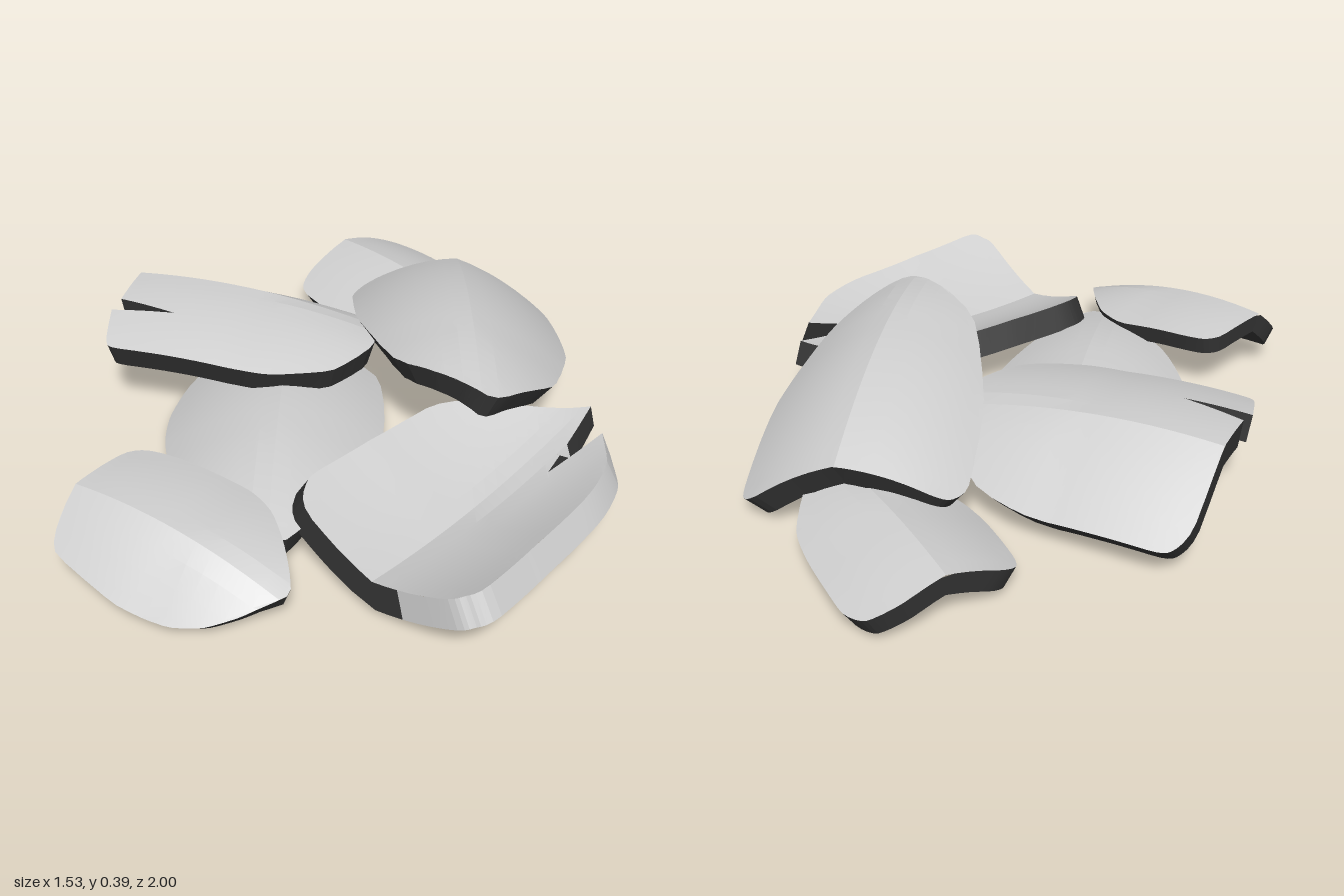
import * as THREE from 'three';
import { toCreasedNormals } from 'three/addons/utils/BufferGeometryUtils.js';

const STEP = 0.05;

// Keep the part of a polygon where sign * (p[axis] - value) >= 0.
function clip(poly, axis, value, sign) {
  const out = [];
  poly.forEach((p, i) => {
    const q = poly[(i + 1) % poly.length];
    const a = sign * (p[axis] - value), b = sign * (q[axis] - value);
    if (a >= 0) out.push(p);
    if ((a > 0 && b < 0) || (a < 0 && b > 0)) {
      const f = a / (a - b);
      out.push([p[0] + (q[0] - p[0]) * f, p[1] + (q[1] - p[1]) * f]);
    }
  });
  return out;
}

function toGeometry(points) {
  return toCreasedNormals(new THREE.BufferGeometry().setFromPoints(points), 0.13);
}

// Rounded [x, z] outline; a notch leaves the curve open and adds its inner tip.
function roundOutline(points, notch) {
  const knots = points.map(([x, z]) => new THREE.Vector3(x, 0, z));
  const curve = new THREE.CatmullRomCurve3(knots, !notch, 'catmullrom', 0.3);
  const outline = curve.getPoints(48).map((v) => [v.x, v.z]);
  if (notch) outline.push(notch);
  else outline.pop();
  return outline;
}

// A bent slab: an outline cut from a sheet creased along a heading (degrees from x towards z).
// y = y0 + s t - k t^2 - a|d| - b d^2 - m d, t along the crease, d across it.
// The crease softens towards the far end.
function makePlate({ name, origin, heading, y0, s = 0, k, a, b, m = 0, thick, points, notch, paleRim }, light, dark) {
  const angle = THREE.MathUtils.degToRad(heading);
  const ax = Math.cos(angle), az = Math.sin(angle);
  const outline = roundOutline(points, notch);
  const toLocal = ([x, z]) => {
    const dx = x - origin[0], dz = z - origin[1];
    return [dx * ax + dz * az, dx * az - dz * ax];
  };
  const softness = (t) => Math.max(0, 0.25 * (t - 0.05));
  const top = ([t, d]) => new THREE.Vector3(
    origin[0] + t * ax + d * az,
    y0 + s * t - k * t * t - a * (Math.hypot(d, softness(t)) - softness(t)) - b * d * d - m * d,
    origin[1] + t * az - d * ax);
  const bottom = (p) => {
    const [t, d] = p;
    const side = Math.abs(d) < 1e-6 ? 0 : d / Math.hypot(d, softness(t));
    const st = s - 2 * k * t, sd = -a * side - 2 * b * d - m;
    const n = new THREE.Vector3(-(st * ax + sd * az), 1, -(st * az - sd * ax)).normalize();
    const v = top(p).addScaledVector(n, -thick);
    v.y = Math.max(v.y, 0);
    return v;
  };

  const local = outline.map(toLocal);
  const upper = [], lower = [];

  // Upper and lower faces, diced along the crease so they bend smoothly
  for (let i = -18; i < 18; i++) {
    const strip = clip(clip(local, 1, i * STEP, 1), 1, (i + 1) * STEP, -1);
    if (strip.length < 3) continue;
    for (let j = -18; j < 18; j++) {
      const cell = clip(clip(strip, 0, j * STEP, 1), 0, (j + 1) * STEP, -1);
      if (cell.length < 3) continue;
      const faces = THREE.ShapeUtils.triangulateShape(cell.map((p) => new THREE.Vector2(...p)), []);
      for (const f of faces) {
        let [p, q, r] = f.map((n) => cell[n]);
        const area = (q[0] - p[0]) * (r[1] - p[1]) - (q[1] - p[1]) * (r[0] - p[0]);
        if (Math.abs(area) < 1e-8) continue;
        if (area < 0) [q, r] = [r, q];
        upper.push(top(p), top(q), top(r));
        lower.push(bottom(p), bottom(r), bottom(q));
      }
    }
  }

  // Rim: dark, or pale along one side of the crease outside the notch
  const tip = local[local.length - 1];
  const ccw = THREE.ShapeUtils.area(outline.map((p) => new THREE.Vector2(...p))) > 0;
  const loop = ccw ? local : local.slice().reverse();
  loop.forEach((p, i) => {
    const q = loop[(i + 1) % loop.length];
    const n = Math.ceil(Math.hypot(q[0] - p[0], q[1] - p[1]) / STEP);
    const at = (f) => [p[0] + (q[0] - p[0]) * f, p[1] + (q[1] - p[1]) * f];
    const pale = paleRim && p !== tip && q !== tip;
    for (let j = 0; j < n; j++) {
      const u = at(j / n), v = at((j + 1) / n);
      const target = pale && u[1] < -0.1 ? upper : lower;
      target.push(top(u), top(v), bottom(v), top(u), bottom(v), bottom(u));
    }
  });

  const group = new THREE.Group();
  group.name = name;
  const face = new THREE.Mesh(toGeometry(upper), light);
  face.name = name + 'Face';
  const under = new THREE.Mesh(toGeometry(lower), dark);
  under.name = name + 'Underside';
  group.add(face, under);
  return group;
}

export function createModel() {
  const light = new THREE.MeshStandardMaterial({ color: 0xcecece });
  light.name = 'paleGrey';
  const dark = new THREE.MeshStandardMaterial({ color: 0x343434 });
  dark.name = 'charcoal';
  const model = new THREE.Group();
  model.name = 'platePile';
  const add = (plate) => model.add(makePlate(plate, light, dark));

  add({
    name: 'backPlate', origin: [0.08, -0.7], heading: 43, y0: 0.185, k: 0.25, a: 0.22, b: 0.8, thick: 0.07,
    points: [[-0.23, -0.68], [-0.2, -0.75], [-0.02, -0.95], [0.07, -1], [0.15, -0.97], [0.3, -0.82],
      [0.38, -0.71], [0.42, -0.5], [0.3, -0.36], [-0.04, -0.46], [-0.2, -0.62]],
  });
  add({
    name: 'highPlate', origin: [0.35, -0.05], heading: 85, y0: 0.39, s: 0.06, k: 0.32, a: 0.2, b: 1, m: 0.2,
    thick: 0.08,
    points: [[-0.04, -0.48], [-0.01, -0.555], [0.05, -0.58], [0.28, -0.61], [0.54, -0.61], [0.6, -0.58],
      [0.62, -0.5], [0.655, -0.2], [0.6, 0.1], [0.5, 0.25], [0.4, 0.33], [0.14, 0.15], [0, -0.2]],
  });
  add({
    name: 'notchedPlate', origin: [-0.35, -0.26], heading: 10, y0: 0.32, s: -0.09, k: 0.23, a: 0.3, b: 0.6,
    m: 0.35, thick: 0.085, notch: [-0.56, -0.1],
    points: [[-0.74, -0.17], [-0.67, -0.5], [-0.62, -0.56], [-0.55, -0.56], [-0.2, -0.49], [-0.01, -0.39],
      [0.06, -0.08], [-0.05, 0.07], [-0.2, 0.11], [-0.3, 0.11], [-0.7, 0.04], [-0.75, 0.01], [-0.76, -0.12]],
  });
  add({
    name: 'lowerPlate', origin: [-0.2, 0.2], heading: 87, y0: 0.2, k: 0.3, a: 0.15, b: 0.8, thick: 0.078,
    points: [[-0.56, 0.05], [-0.55, 0.2], [-0.5, 0.37], [-0.4, 0.52], [-0.15, 0.69], [-0.11, 0.68],
      [-0.06, 0.6], [0.1, 0.2], [0.06, -0.18], [-0.2, -0.25], [-0.5, -0.15]],
  });
  add({
    name: 'upturnedPlate', origin: [0.28, 0.61], heading: -50.5, y0: 0.09, s: 0.02, k: -0.2, a: -0.25, b: -0.6,
    thick: 0.085, notch: [0.58, 0.37], paleRim: true,
    points: [[0.735, 0.24], [0.735, 0.4], [0.67, 0.56], [0.41, 0.94], [0.35, 0.97], [0.29, 0.95],
      [-0.06, 0.67], [-0.08, 0.58], [-0.04, 0.51], [0.24, 0.2], [0.42, 0.12], [0.71, 0.115]],
  });
  add({
    name: 'frontPlate', origin: [-0.43, 0.76], heading: 25.5, y0: 0.215, s: -0.16, k: 0.4, a: 0.41, b: 0.5,
    m: -0.43, thick: 0.06,
    points: [[-0.73, 0.77], [-0.72, 0.68], [-0.6, 0.48], [-0.54, 0.45], [-0.45, 0.47], [-0.25, 0.55],
      [-0.17, 0.63], [-0.12, 0.75], [-0.09, 0.89], [-0.2, 0.95], [-0.3, 0.97], [-0.4, 0.96], [-0.55, 0.9]],
  });
  return model;
}
